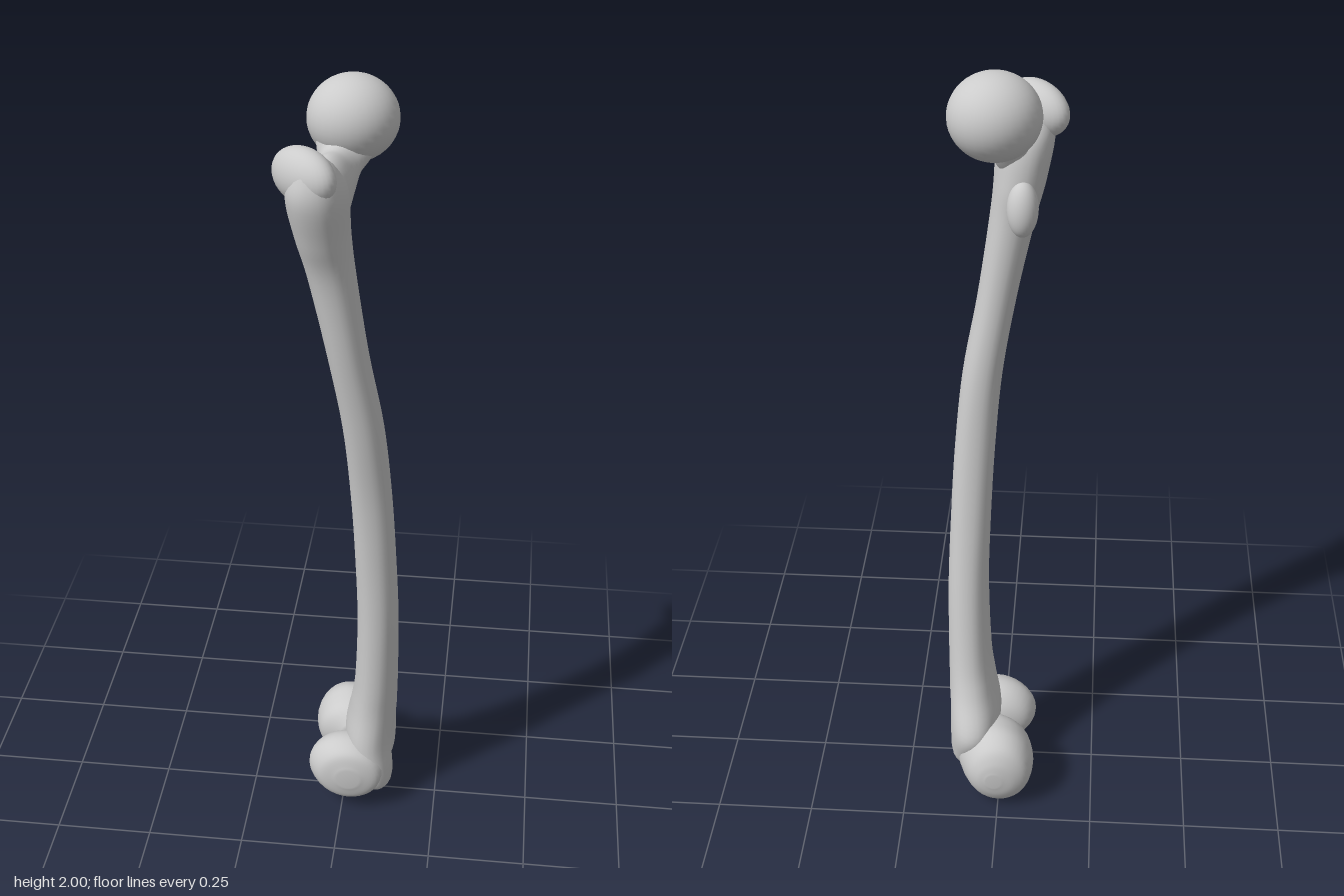
import * as THREE from 'three';

const material = new THREE.MeshStandardMaterial({ color: 0xcccccc });

// Smooth skin over rings. Each section is [position along axis, x0, x1, w0, w1].
// axis 'y': w is z, listed bottom to top. axis 'z': w is y, listed from +z to -z.
function loft(name, axis, sections, { sides = 32, steps = 6, power = 2, rule } = {}) {
  const times = sections.map((_, i) => i);
  const spline = new THREE.CubicInterpolant(times, sections.flat(), 5, new Float32Array(5));
  const rows = (sections.length - 1) * steps;
  const pos = [], index = [];
  const put = (x, along, w) => {
    const p = axis === 'y' ? new THREE.Vector3(x, along, w) : new THREE.Vector3(x, w, along);
    if (rule) rule(p);
    pos.push(p.x, p.y, p.z);
  };
  const bend = (v) => Math.sign(v) * Math.abs(v) ** (2 / power);
  for (let r = 0; r <= rows; r++) {
    const [along, x0, x1, w0, w1] = spline.evaluate(r / steps);
    for (let s = 0; s < sides; s++) {
      const a = (s / sides) * Math.PI * 2;
      put((x0 + x1) / 2 + bend(Math.cos(a)) * (x1 - x0) / 2, along,
        (w0 + w1) / 2 + bend(Math.sin(a)) * (w1 - w0) / 2);
    }
  }
  for (let r = 0; r < rows; r++) {
    for (let s = 0; s < sides; s++) {
      const a = r * sides + s, b = r * sides + (s + 1) % sides;
      index.push(a, a + sides, b, b, a + sides, b + sides);
    }
  }
  // Close both ends
  for (const r of [0, rows]) {
    const [along, x0, x1, w0, w1] = sections[r / steps];
    const centre = pos.length / 3;
    put((x0 + x1) / 2, along, (w0 + w1) / 2);
    for (let s = 0; s < sides; s++) {
      const a = r * sides + s, b = r * sides + (s + 1) % sides;
      index.push(centre, ...(r ? [b, a] : [a, b]));
    }
  }
  const geometry = new THREE.BufferGeometry();
  geometry.setAttribute('position', new THREE.Float32BufferAttribute(pos, 3));
  geometry.setIndex(index);
  geometry.computeVertexNormals();
  const mesh = new THREE.Mesh(geometry, material);
  mesh.name = name;
  return mesh;
}

function ellipsoid(name, centre, radii, rotation = [0, 0, 0]) {
  const geometry = new THREE.SphereGeometry(1, 32, 22).scale(...radii);
  const mesh = new THREE.Mesh(geometry, material);
  mesh.name = name;
  mesh.position.set(...centre);
  mesh.rotation.set(...rotation);
  return mesh;
}

export function createModel() {
  const bone = new THREE.Group();
  bone.name = 'thighBone';

  // Bowed shaft, flaring into the knee end, with a shallow kneecap groove
  bone.add(loft('shaft', 'y', [
    [0.05, 0.06, 0.115, -0.09, 0.06],
    [0.07, 0.04, 0.138, -0.125, 0.09],
    [0.12, 0.02, 0.142, -0.155, 0.1],
    [0.2, 0.0, 0.137, -0.18, 0.093],
    [0.3, 0.015, 0.138, -0.128, 0.08],
    [0.4, 0.028, 0.14, -0.095, 0.08],
    [0.6, 0.035, 0.14, -0.058, 0.085],
    [0.8, 0.03, 0.132, -0.027, 0.09],
    [1.0, 0.02, 0.12, -0.003, 0.103],
    [1.2, 0.003, 0.1, 0.013, 0.13],
    [1.4, -0.03, 0.064, 0.027, 0.153],
    [1.6, -0.072, 0.035, 0.028, 0.17],
    [1.7, -0.097, 0.025, 0.022, 0.197],
    [1.8, -0.113, 0.022, 0.04, 0.223],
    [1.86, -0.095, 0.0, 0.1, 0.213],
    [1.895, -0.08, -0.03, 0.145, 0.185],
  ], {
    power: 2.2,
    rule: (p) => {
      const low = 1 - THREE.MathUtils.smoothstep(p.y, 0.12, 0.28);
      if (p.x > 0.08) p.x -= 0.022 * low * Math.exp(-(((p.z + 0.03) / 0.045) ** 2));
    },
  }));

  // Knee end: two rounded condyles with a notch between them
  bone.add(loft('innerCondyle', 'z', [
    [-0.04, -0.01, 0.08, 0.09, 0.18],
    [-0.075, -0.07, 0.11, 0.035, 0.21],
    [-0.12, -0.09, 0.112, 0.006, 0.222],
    [-0.16, -0.092, 0.1, 0.0, 0.222],
    [-0.2, -0.08, 0.078, 0.018, 0.2],
    [-0.22, -0.05, 0.055, 0.05, 0.165],
    [-0.228, -0.01, 0.03, 0.085, 0.13],
  ]));
  bone.add(loft('outerCondyle', 'z', [
    [0.115, -0.01, 0.05, 0.09, 0.15],
    [0.1, -0.06, 0.1, 0.045, 0.195],
    [0.06, -0.09, 0.118, 0.03, 0.215],
    [0.02, -0.085, 0.118, 0.036, 0.21],
    [-0.01, -0.06, 0.11, 0.055, 0.185],
    [-0.03, 0.0, 0.08, 0.085, 0.15],
  ]));

  // Hip end: neck, ball head and the two trochanters
  bone.add(loft('neck', 'z', [
    [0.16, -0.075, -0.01, 1.72, 1.84],
    [0.1, -0.08, 0.02, 1.69, 1.87],
    [0.05, -0.062, 0.03, 1.73, 1.868],
    [0.02, -0.056, 0.042, 1.78, 1.882],
    [-0.01, -0.064, 0.07, 1.806, 1.945],
    [-0.05, -0.04, 0.06, 1.85, 1.95],
  ]));
  bone.add(ellipsoid('head', [0.012, 1.904, -0.055], [0.103, 0.096, 0.099]));
  bone.add(ellipsoid('greaterTrochanter', [-0.07, 1.845, 0.15], [0.092, 0.063, 0.048], [0, -0.76, 0.05]));
  bone.add(ellipsoid('lesserTrochanter', [-0.045, 1.655, 0.022], [0.036, 0.065, 0.036], [0.15, 0, 0]));
  return bone;
}
